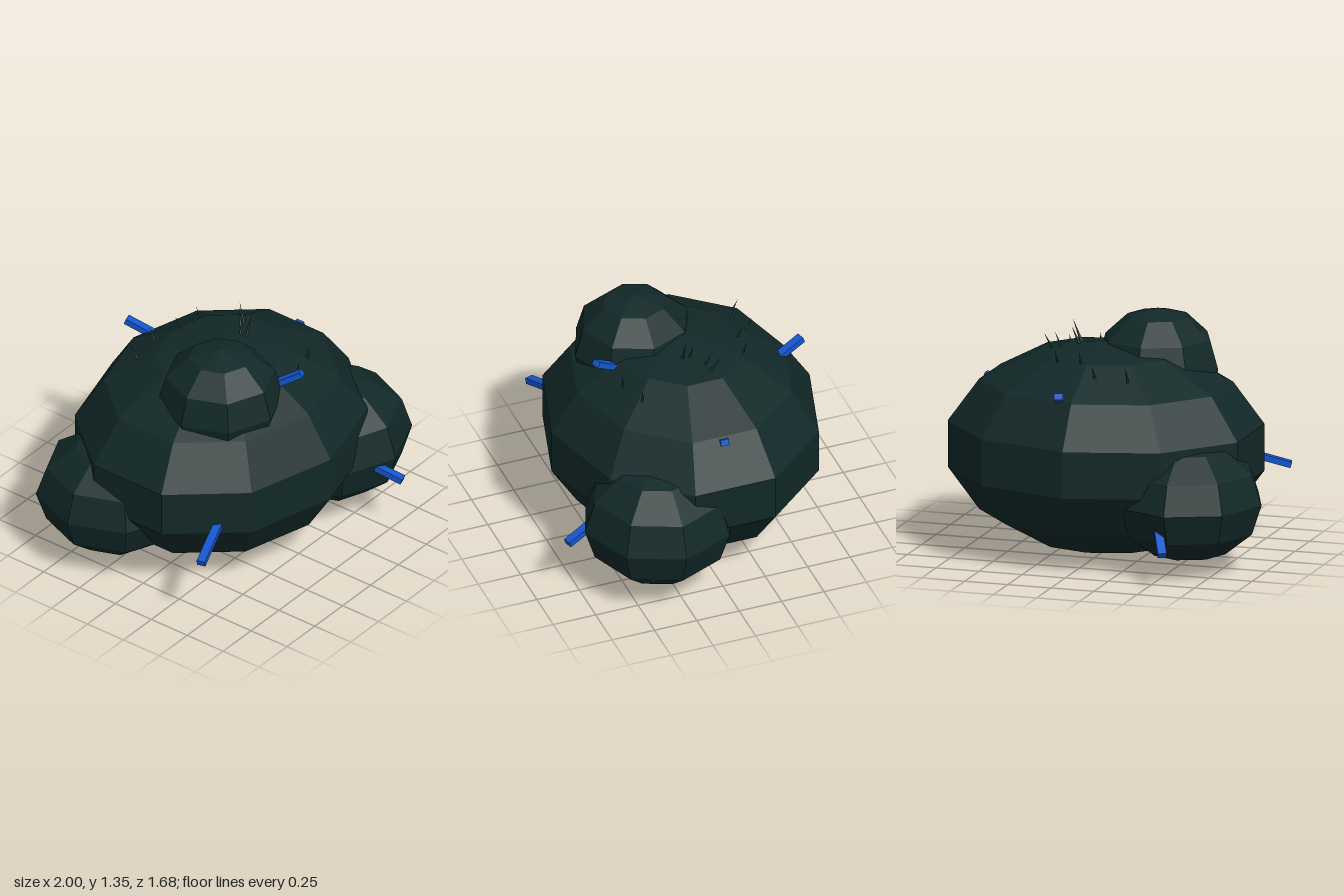
import * as THREE from 'three';

export function createModel() {
  const model = new THREE.Group();
  model.name = 'spikedBoulder';

  const rock = new THREE.MeshStandardMaterial({ name: 'darkRock', color: 0x122828, flatShading: true });
  const blue = new THREE.MeshStandardMaterial({ name: 'blueShard', color: 0x1555cc, flatShading: true });
  const grass = new THREE.MeshStandardMaterial({ name: 'darkTealBlade', color: 0x0f3d3a, flatShading: true });

  const add = (name, geometry, material) => {
    const mesh = new THREE.Mesh(geometry, material);
    mesh.name = name;
    model.add(mesh);
    return mesh;
  };

  // Faceted boulder masses: a low-poly sphere stretched to its radii
  const lump = (name, [x, y, z], [rx, ry, rz], sides, rings) => {
    const geometry = new THREE.SphereGeometry(1, sides, rings);
    geometry.rotateY(Math.PI / 2);
    geometry.scale(rx, ry, rz);
    add(name, geometry, rock).position.set(x, y, z);
  };
  lump('mainBoulder', [0, 0.59, -0.04], [0.906, 0.59, 0.78], 10, 7);
  lump('topLump', [-0.24, 1.02, 0.14], [0.35, 0.325, 0.35], 8, 6);
  lump('leftLump', [0.56, 0.43, 0.31], [0.44, 0.365, 0.43], 8, 6);
  lump('rightLump', [-0.58, 0.39, -0.335], [0.42, 0.335, 0.445], 8, 6);

  // Blue bars poking out of the rock, from buried end to tip
  const shards = [
    [[-0.5, 0.54, 0.385], [-0.89, 0.425, 0.51]],
    [[0.45, 0.42, 0.62], [0.515, 0.348, 0.825]],
    [[-0.01, 1.065, 0.33], [0.055, 1.168, 0.48]],
    [[0.1, 0.95, -0.55], [0.045, 1.018, -0.735]],
    [[-0.51, 0.3, -0.67], [-0.585, 0.185, -0.82]],
    [[0.55, 0.88, -0.03], [0.705, 0.937, -0.03]],
  ];
  shards.forEach(([from, to], i) => {
    const a = new THREE.Vector3(...from);
    const b = new THREE.Vector3(...to);
    const bar = add(`blueShard${i + 1}`, new THREE.BoxGeometry(0.048, 0.035, a.distanceTo(b)), blue);
    bar.position.copy(a).lerp(b, 0.5);
    bar.lookAt(b);
  });

  // Thin blades on the crown, from root to tip
  const blades = [
    [[0.15, 1.13, 0.01], [0.21, 1.28, 0.01]],
    [[0.15, 1.13, -0.03], [0.2, 1.25, -0.04]],
    [[0.23, 1.1, -0.08], [0.27, 1.23, -0.12]],
    [[0.28, 1.1, -0.09], [0.32, 1.23, -0.16]],
    [[-0.25, 1.03, -0.41], [-0.26, 1.14, -0.48]],
    [[-0.07, 1.05, -0.44], [-0.07, 1.14, -0.49]],
    [[0.04, 1.07, -0.34], [0.04, 1.19, -0.39]],
    [[0.18, 1.06, -0.32], [0.19, 1.19, -0.36]],
    [[0.16, 1.03, 0.36], [0.17, 1.13, 0.37]],
    [[0.32, 1.03, 0.31], [0.33, 1.12, 0.31]],
  ];
  const up = new THREE.Vector3(0, 1, 0);
  blades.forEach(([from, to], i) => {
    const a = new THREE.Vector3(...from);
    const b = new THREE.Vector3(...to);
    const blade = add(`blade${i + 1}`, new THREE.ConeGeometry(0.012, a.distanceTo(b), 4), grass);
    blade.position.copy(a).lerp(b, 0.5);
    blade.quaternion.setFromUnitVectors(up, b.sub(a).normalize());
  });

  return model;
}
